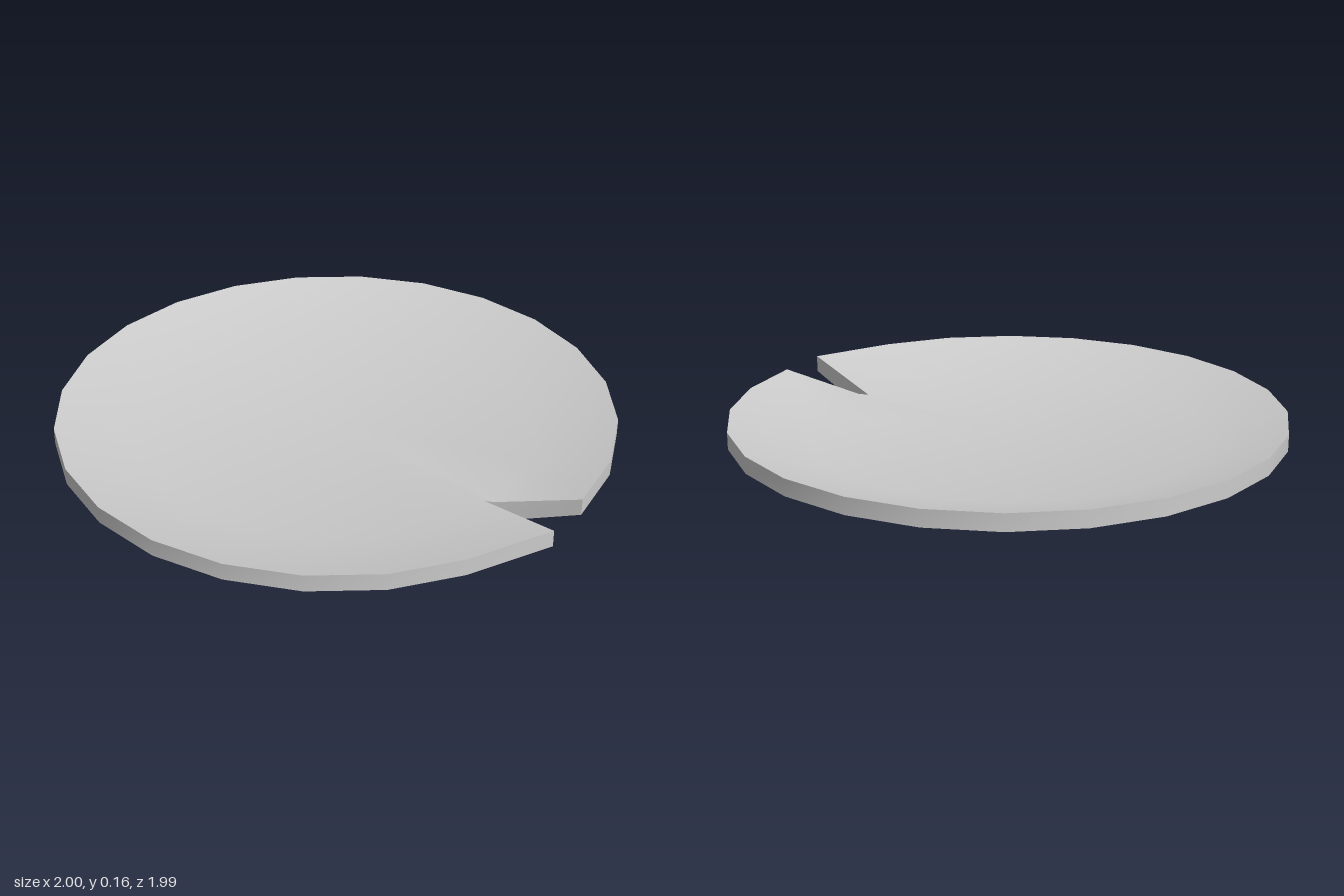
import * as THREE from 'three';
import { toCreasedNormals } from 'three/addons/utils/BufferGeometryUtils.js';

const SIDES = 24, CENTRE = -0.005;
const RIM = { radius: 0.995, top: 0.156, bottom: 0.095 };
const FLOOR = { radius: 0.71, top: 0.078, bottom: 0 };

// Ring of [x, z] points running from one side of the notch round to the other
function ring(radius, first, last) {
  const points = [];
  for (let k = 1; k <= SIDES; k++) {
    const a = (k / SIDES) * Math.PI * 2;
    points.push([CENTRE + radius * Math.cos(a), CENTRE + radius * Math.sin(a)]);
  }
  points[0] = first;
  points[SIDES - 1] = last;
  return points;
}

function leafGeometry() {
  const positions = [];
  const tri = (a, b, c) => positions.push(...a, ...b, ...c);
  const quad = (a, b, c, d) => { tri(a, b, c); tri(a, c, d); };
  const raise = (points, y) => points.map(([x, z]) => [x, y, z]);

  const outer = ring(RIM.radius, [1, 0.205], [0.99, 0]);
  const inner = ring(FLOOR.radius, [0.68, 0.097], [0.71, 0.083]);
  const rimTop = raise(outer, RIM.top), rimBottom = raise(outer, RIM.bottom);
  const floorTop = raise(inner, FLOOR.top), floorBottom = raise(inner, FLOOR.bottom);
  const midTop = [CENTRE, FLOOR.top, CENTRE], midBottom = [CENTRE, FLOOR.bottom, CENTRE];

  for (let i = 0; i < SIDES; i++) {
    const j = (i + 1) % SIDES;
    // Flat middle, above and below
    tri(midTop, floorTop[j], floorTop[i]);
    tri(midBottom, floorBottom[i], floorBottom[j]);
    if (j === 0) continue;
    // Upturned border and outer edge, left open at the notch
    quad(floorTop[i], floorTop[j], rimTop[j], rimTop[i]);
    quad(floorBottom[i], rimBottom[i], rimBottom[j], floorBottom[j]);
    quad(rimTop[i], rimTop[j], rimBottom[j], rimBottom[i]);
  }

  // Notch walls: both sides and the narrow tip
  const e = SIDES - 1;
  quad(floorTop[0], rimTop[0], rimBottom[0], floorBottom[0]);
  quad(rimTop[e], floorTop[e], floorBottom[e], rimBottom[e]);
  quad(floorTop[e], floorTop[0], floorBottom[0], floorBottom[e]);

  const geometry = new THREE.BufferGeometry();
  geometry.setAttribute('position', new THREE.Float32BufferAttribute(positions, 3));
  return toCreasedNormals(geometry, Math.PI / 6);
}

export function createModel() {
  const group = new THREE.Group();
  group.name = 'lilyPad';
  const leaf = new THREE.Mesh(leafGeometry(), new THREE.MeshStandardMaterial({ color: 0xcccccc }));
  leaf.name = 'leaf';
  group.add(leaf);
  return group;
}
